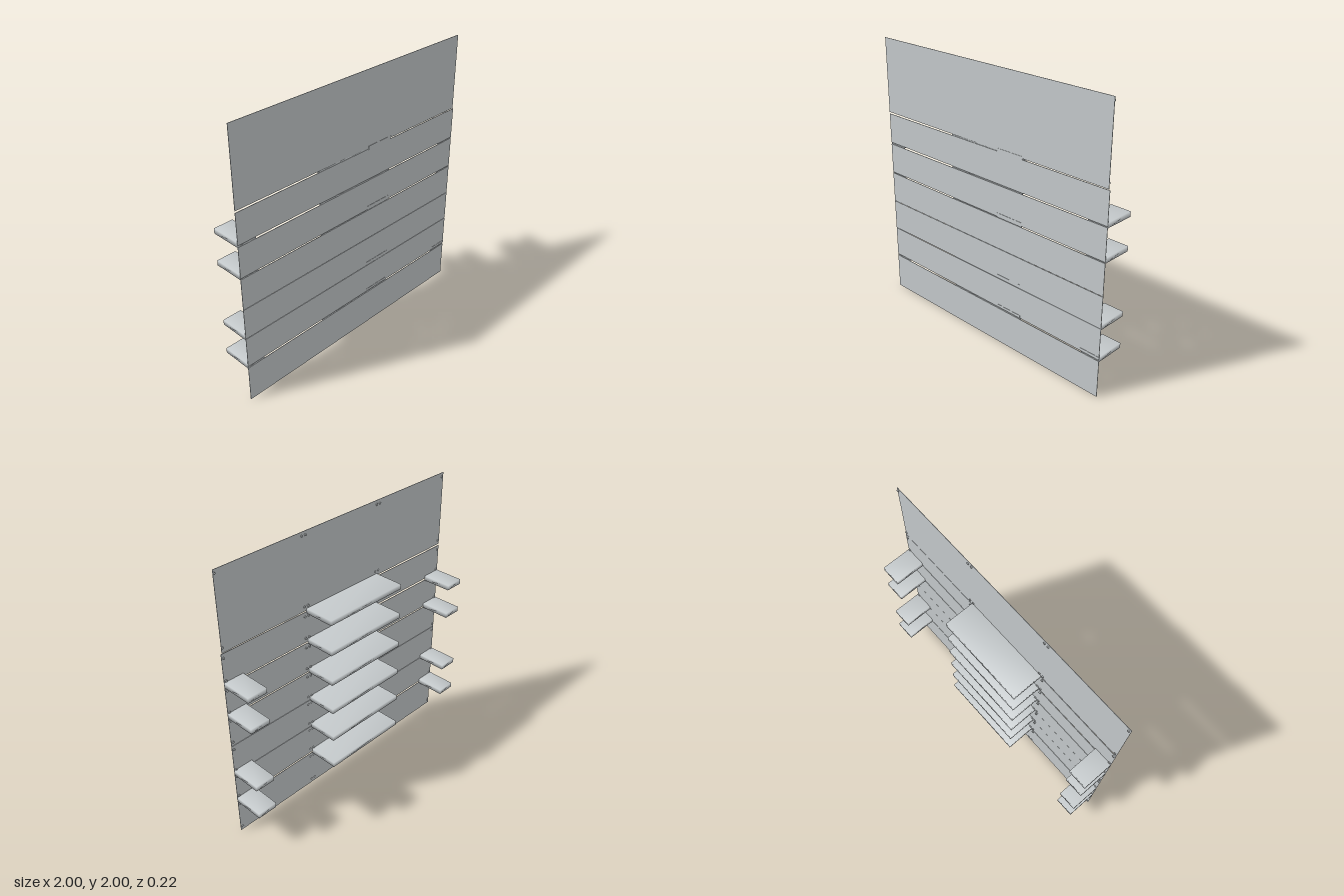
import * as THREE from 'three';
import { mergeVertices } from 'three/addons/utils/BufferGeometryUtils.js';

const steel = new THREE.MeshStandardMaterial({ color: 0xc4c9cb });
steel.name = 'greySteel';

// Box spanning two corners; smooth shares the normals at its corners
function box(name, x0, x1, y0, y1, z0, z1, smooth = false) {
  let geo = new THREE.BoxGeometry(x1 - x0, y1 - y0, z1 - z0);
  if (smooth) {
    geo.deleteAttribute('normal');
    geo.deleteAttribute('uv');
    geo = mergeVertices(geo);
    geo.computeVertexNormals();
  }
  const mesh = new THREE.Mesh(geo, steel);
  mesh.position.set((x0 + x1) / 2, (y0 + y1) / 2, (z0 + z1) / 2);
  mesh.name = name;
  return mesh;
}

// Thin plate cut from an outline in x and y
function plate(name, points, z, depth) {
  const shape = new THREE.Shape(points.map(([x, y]) => new THREE.Vector2(x, y)));
  const geo = new THREE.ExtrudeGeometry(shape, { depth, bevelEnabled: false });
  const mesh = new THREE.Mesh(geo, steel);
  mesh.position.z = z;
  mesh.name = name;
  return mesh;
}

export function createModel() {
  const model = new THREE.Group();
  model.name = 'panelWallWithShelves';

  // Wall panels: [bottom left, bottom right, top left, top right] heights
  const panels = [
    [0, 0, 0.274, 0.274],
    [0.287, 0.284, 0.514, 0.514],
    [0.517, 0.517, 0.744, 0.744],
    [0.747, 0.747, 0.976, 0.974],
    [0.985, 0.983, 1.208, 1.21],
    [1.222, 1.218, 1.443, 1.445],
    [1.456, 1.45, 2, 1.994],
  ];
  const screwGeo = new THREE.CylinderGeometry(0.008, 0.008, 0.006, 12).rotateX(Math.PI / 2);
  const screwColumns = [-0.985, -0.348, -0.318, 0.308, 0.338, 0.985];
  panels.forEach(([bl, br, tl, tr], i) => {
    const right = i === 6 ? 0.992 : 1;
    model.add(plate('wallPanel', [[-1, bl], [right, br], [right, tr], [-1, tl]], 0.107, 0.003));

    // Screws along the top and bottom of each panel, on the back
    for (const y of [bl + 0.03, tl - 0.03]) {
      for (const x of screwColumns) {
        const screw = new THREE.Mesh(screwGeo, steel);
        screw.name = 'screw';
        screw.position.set(x, y, 0.104);
        model.add(screw);
      }
    }
  });

  // Shelves: a long centre one on each level, short side ones on four levels
  const levels = [0.27, 0.508, 0.741, 0.974, 1.206, 1.43];
  levels.forEach((y, i) => {
    const top = y + 0.036;
    model.add(box('centreShelf', -0.33, 0.32, y, top, -0.112, 0.1075, true));
    if (i !== 2 && i !== 5) {
      model.add(box('rightShelf', -1, -0.86, y, top, -0.112, 0.1075, true));
      model.add(box('leftShelf', 0.855, 1, y, top, -0.112, 0.1075, true));
    }
  });

  // Shelf edges that come through the front of the wall
  for (const y of [0.98, 1.436]) {
    model.add(plate('shelfTab', [[0.105, y], [0.32, y], [0.32, y + 0.03], [0.105, y + 0.03]], 0.11, 0.002));
  }
  model.add(plate('shelfTab', [[0.19, 0.518], [0.32, 0.518], [0.32, 0.545], [0.105, 0.545]], 0.11, 0.002));
  model.add(plate('shelfTab', [[0.2, 0.29], [0.32, 0.285], [0.32, 0.306], [0.105, 0.306]], 0.11, 0.002));
  model.add(plate('shelfTab', [[0.88, 0.292], [1, 0.287], [1, 0.306], [0.85, 0.306]], 0.11, 0.002));

  return model;
}
